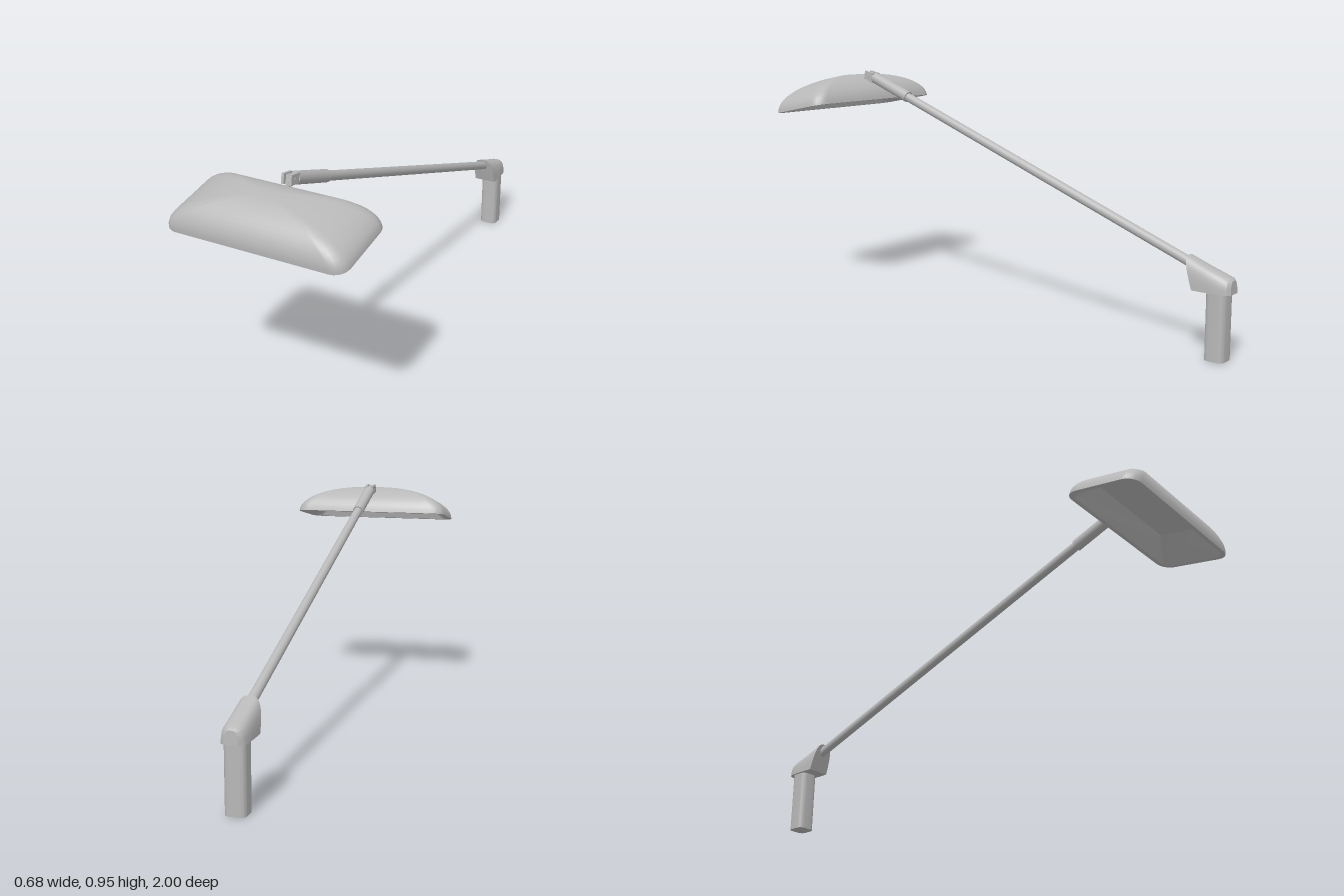
import * as THREE from 'three';
import { toCreasedNormals } from 'three/addons/utils/BufferGeometryUtils.js';

const grey = new THREE.MeshStandardMaterial({ color: 0xb8b8b8 });
grey.name = 'satinGrey';

function part(name, geometry, parent) {
  const mesh = new THREE.Mesh(geometry, grey);
  mesh.name = name;
  parent.add(mesh);
  return mesh;
}

// Skin a list of closed rings (equal point counts); a ring may collapse to one point
function loft(rings, crease) {
  const pos = [];
  const tri = (a, b, c) => {
    if (a.distanceTo(b) > 1e-6 && b.distanceTo(c) > 1e-6 && c.distanceTo(a) > 1e-6) {
      for (const p of [a, b, c]) pos.push(p.x, p.y, p.z);
    }
  };
  for (let i = 0; i < rings.length - 1; i++) {
    const n = rings[i].length;
    for (let j = 0; j < n; j++) {
      const k = (j + 1) % n;
      tri(rings[i][j], rings[i][k], rings[i + 1][k]);
      tri(rings[i][j], rings[i + 1][k], rings[i + 1][j]);
    }
  }
  const g = new THREE.BufferGeometry();
  g.setAttribute('position', new THREE.Float32BufferAttribute(pos, 3));
  return toCreasedNormals(g, crease);
}

// Horizontal rounded rectangle, half sizes hx and hz
function roundedRing(hx, hz, r, y, segments = 5) {
  const pts = [];
  [[1, 1], [-1, 1], [-1, -1], [1, -1]].forEach(([sx, sz], q) => {
    for (let i = 0; i <= segments; i++) {
      const a = (q + i / segments) * Math.PI / 2;
      pts.push(new THREE.Vector3(sx * (hx - r) + r * Math.cos(a), y, sz * (hz - r) + r * Math.sin(a)));
    }
  });
  return pts;
}

// Round bar between two points in the centre plane, given as [y, z]
function bar(name, a, b, radius, parent) {
  const dy = b[0] - a[0], dz = b[1] - a[1];
  const mesh = part(name, new THREE.CylinderGeometry(radius, radius, Math.hypot(dy, dz), 24), parent);
  mesh.position.set(0, (a[0] + b[0]) / 2, (a[1] + b[1]) / 2);
  mesh.rotation.x = Math.atan2(dz, dy);
  return mesh;
}

export function createModel() {
  const lamp = new THREE.Group();
  lamp.name = 'wallLamp';

  // Upright post with rounded corners
  const post = part('post', loft([
    roundedRing(0, 0, 0, 0.25), roundedRing(0.038, 0.038, 0.02, 0.25),
    roundedRing(0.038, 0.038, 0.02, 0), roundedRing(0, 0, 0, 0),
  ], 0.5), lamp);
  post.position.z = -0.943;

  // Arched bracket: cross-sections from back to the slanted front face
  const bottom = 0.246;
  const section = (width, top, zBottom, zTop) => {
    const pts = [];
    for (let i = 0; i <= 16; i++) {
      const a = Math.PI * i / 16;
      const c = Math.cos(a), h = Math.pow(Math.sin(a), 0.8);
      pts.push(new THREE.Vector3(
        width * Math.sign(c) * Math.pow(Math.abs(c), 0.6),
        bottom + (top - bottom) * h,
        zBottom + (zTop - zBottom) * h));
    }
    return pts;
  };
  const stations = [
    section(0.024, 0.294, -1, -0.998),
    section(0.038, 0.302, -0.99, -0.988),
    section(0.045, 0.309, -0.972, -0.965),
    section(0.047, 0.33, -0.92, -0.905),
    section(0.047, 0.362, -0.858, -0.822),
  ];
  const cap = (ring, y, z) => ring.map(() => new THREE.Vector3(0, y, z));
  part('bracket', loft([
    cap(stations[0], 0.265, -0.999), ...stations, cap(stations[4], 0.3, -0.841),
  ], 0.6), lamp);

  // Long arm and the thicker sleeve at its end
  bar('arm', [0.322, -0.86], [0.852, 0.56], 0.018, lamp);
  bar('sleeve', [0.843, 0.535], [0.916, 0.73], 0.023, lamp);

  // Hinge: two prongs around a centre tongue that carries the shade
  const hinge = new THREE.Group();
  hinge.name = 'hinge';
  hinge.position.set(0, 0.923, 0.75);
  hinge.rotation.x = -0.2;
  lamp.add(hinge);
  for (const side of [-1, 1]) {
    part('prong', new THREE.BoxGeometry(0.01, 0.036, 0.05), hinge).position.x = side * 0.015;
  }
  part('tongue', new THREE.BoxGeometry(0.012, 0.042, 0.026), hinge).position.set(0, -0.006, 0.006);
  part('hingePin', new THREE.CylinderGeometry(0.007, 0.007, 0.044, 12), hinge).rotation.z = Math.PI / 2;

  // Shade: vaulted shell, flat rim, and a recess with sloping walls
  const rings = [];
  const steps = 14;
  for (let i = 0; i <= steps; i++) {
    const t = Math.PI / 2 * i / steps;
    const s = Math.sin(t);
    rings.push(roundedRing(0.34 * s, 0.145 * s, 0.05 * s, 0.128 * Math.cos(t)));
  }
  rings.push(
    roundedRing(0.322, 0.127, 0.034, 0),
    roundedRing(0.215, 0.09, 0.004, 0.08),
    roundedRing(0, 0, 0, 0.08));
  const shade = part('shade', loft(rings, 0.5), lamp);
  shade.position.set(0, 0.797, 0.857);
  shade.rotation.x = 0.19;

  return lamp;
}
